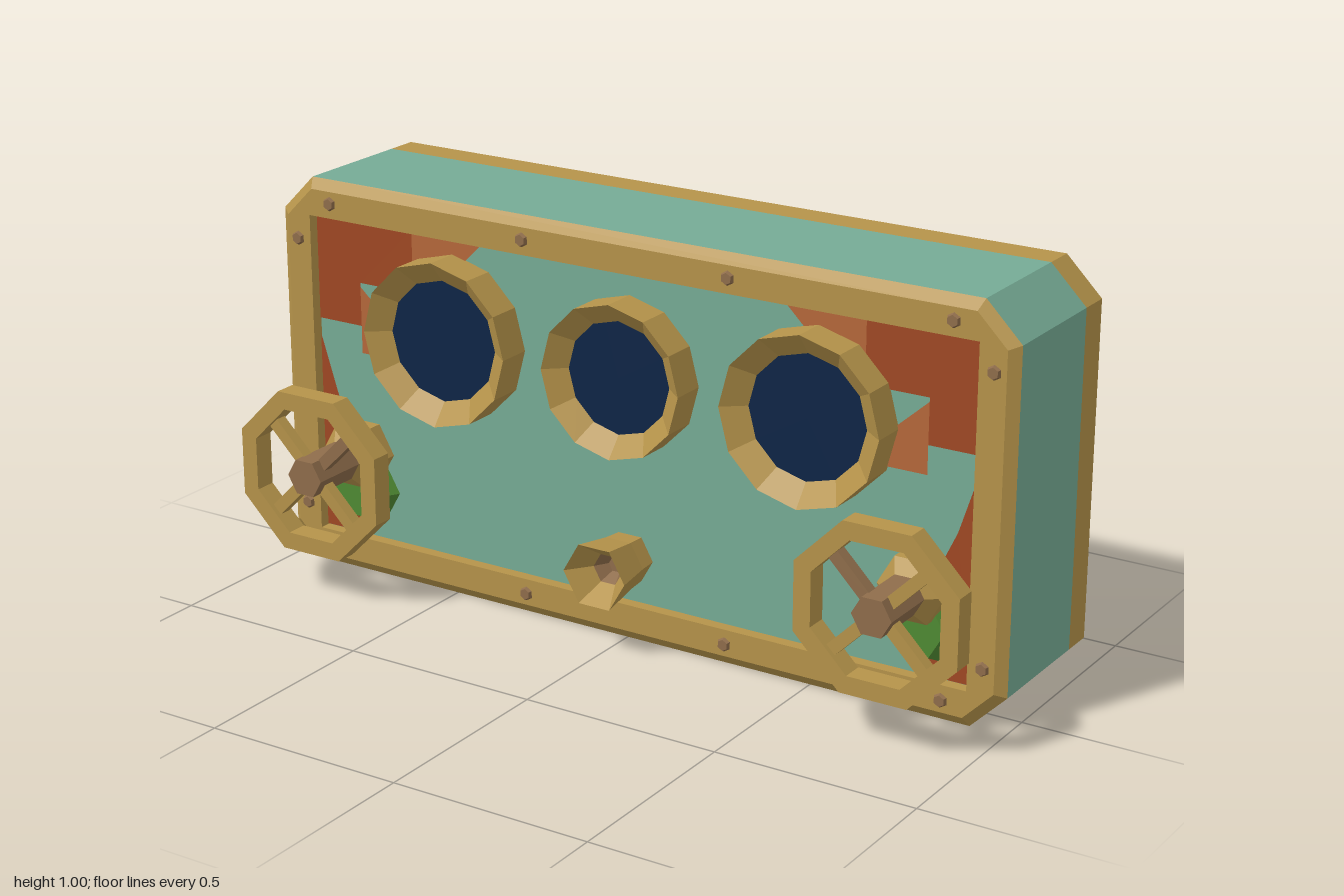
import * as THREE from 'three';

const mat = (name, color) => Object.assign(new THREE.MeshStandardMaterial({ color }), { name });

export function createModel() {
  const teal = mat('teal paint', 0x76ab95);
  const brass = mat('brass', 0xb5934a);
  const brown = mat('bronze', 0x8f6d4b);
  const rust = mat('dark rust', 0xa04824);
  const lightRust = mat('light rust', 0xb5683a);
  const navy = mat('dark glass', 0x0e2546);
  const green = mat('verdigris', 0x4f8a33);
  const group = new THREE.Group();
  group.name = 'gaugePanel';

  const FRONT = 0.07, BACK = -0.285; // recessed panel planes

  function add(name, geo, material, x = 0, y = 0, z = 0, parent = group) {
    const mesh = new THREE.Mesh(geo, material);
    mesh.name = name;
    mesh.position.set(x, y, z);
    parent.add(mesh);
    return mesh;
  }

  function facet(geo) {
    const g = geo.index ? geo.toNonIndexed() : geo;
    g.computeVertexNormals();
    return g;
  }

  // Faceted turned part, axis along z
  function turned(profile, sides, turn = 0) {
    const geo = new THREE.LatheGeometry(profile.map(p => new THREE.Vector2(...p)), sides);
    return facet(geo.rotateX(Math.PI / 2).rotateZ(turn));
  }

  // Rectangle with cut corners, counterclockwise seen from the front
  function loop(inset, cut, z) {
    const w = 1 - inset, a = inset, b = 1 - inset;
    return [[w, a + cut], [w, b - cut], [w - cut, b], [cut - w, b],
      [-w, b - cut], [-w, a + cut], [cut - w, a], [w - cut, a]].map(p => [...p, z]);
  }

  // Skin between successive loops
  function loft(loops) {
    const pos = [];
    for (let i = 0; i + 1 < loops.length; i++) {
      const p = loops[i], q = loops[i + 1];
      for (let j = 0; j < 8; j++) {
        const k = (j + 1) % 8;
        pos.push(...p[j], ...q[j], ...q[k], ...p[j], ...q[k], ...p[k]);
      }
    }
    const geo = new THREE.BufferGeometry();
    geo.setAttribute('position', new THREE.Float32BufferAttribute(pos, 3));
    return facet(geo);
  }

  // Case: front frame, painted sides, back frame and inner panel
  add('frontFrame', loft([loop(0.092, 0, FRONT), loop(0.092, 0, 0.1),
    loop(0.025, 0.075, 0.1), loop(0, 0.09, 0.08)]), brass);
  add('caseSides', loft([loop(0, 0.09, 0.08), loop(0, 0.09, -0.235)]), teal);
  add('backFrame', loft([loop(0, 0.09, -0.235), loop(0, 0.09, -0.315),
    loop(0.092, 0, -0.315), loop(0.092, 0, BACK)]), brass);
  add('panel', new THREE.BoxGeometry(1.82, 0.82, FRONT - BACK), teal, 0, 0.5, (FRONT + BACK) / 2);

  // Weathered patches, mirrored left and right
  function patch(name, points, material, side, back = false) {
    const flip = back ? -side : side;
    const geo = new THREE.ShapeGeometry(new THREE.Shape(
      points.map(([x, y]) => new THREE.Vector2(x * flip, y))));
    if (back) geo.rotateY(Math.PI);
    add(name, geo, material, 0, 0, back ? BACK - 0.003 : FRONT + 0.003);
  }

  const bolt = turned([[0.018, 0], [0.014, 0.008], [0, 0.008]], 6);

  for (const s of [-1, 1]) {
    patch('upperRust', [[0.908, 0.908], [0.62, 0.908], [0.62, 0.75], [0.78, 0.75],
      [0.78, 0.64], [0.908, 0.64]], rust, s);
    patch('upperLightRust', [[0.62, 0.908], [0.41, 0.908], [0.48, 0.84], [0.62, 0.82]], lightRust, s);
    patch('sideLightRust', [[0.78, 0.74], [0.69, 0.66], [0.66, 0.57], [0.78, 0.57]], lightRust, s);
    patch('lowerRust', [[0.908, 0.094], [0.908, 0.6], [0.86, 0.45], [0.79, 0.3], [0.78, 0.094]], rust, s);
    patch('backRust', [[0.908, 0.094], [0.63, 0.36], [0.63, 0.094]], rust, s, true);
    patch('backLightRust', [[0.908, 0.094], [0.908, 0.36], [0.63, 0.36]], lightRust, s, true);

    // Verdigris lump below the wheel
    add('verdigris', turned([[0.1, 0], [0.075, 0.042], [0, 0.042]], 6, Math.PI / 6),
      green, s * 0.78, 0.22, FRONT);

    // Handwheel with collar and axle
    const wheel = new THREE.Group();
    wheel.name = 'handwheel';
    wheel.position.set(s * 0.78, 0.318, 0);
    group.add(wheel);
    add('collar', turned([[0.085, FRONT], [0.085, 0.135], [0.05, 0.165], [0, 0.165]], 6, Math.PI / 6),
      brass, 0, 0, 0, wheel);
    add('axle', turned([[0.05, 0.15], [0.05, 0.315], [0, 0.315]], 6, Math.PI / 6),
      brown, 0, 0, 0, wheel);
    add('rim', turned([[0.173, 0.245], [0.22, 0.245], [0.22, 0.3], [0.173, 0.3], [0.173, 0.245]], 8, Math.PI / 8),
      brass, 0, 0, 0, wheel);
    for (let i = 0; i < 4; i++) {
      const a = Math.PI / 4 + i * Math.PI / 2;
      const inner = Math.sin(a) > 0 && Math.cos(a) * s < 0;
      const spoke = add('spoke', new THREE.BoxGeometry(0.15, 0.03, 0.03), inner ? brown : brass,
        Math.cos(a) * 0.1, Math.sin(a) * 0.1, 0.272, wheel);
      spoke.rotation.z = a;
    }

    // Frame bolts
    for (const [x, y] of [[0.845, 0.945], [0.28, 0.945], [0.945, 0.845],
      [0.945, 0.155], [0.845, 0.055], [0.28, 0.055]]) {
      add('frameBolt', bolt, brown, s * x, y, 0.1);
    }

    // Wall brackets on the back
    add('bracket', new THREE.BoxGeometry(0.09, 0.44, 0.03), brown, s * 0.47, 0.515, BACK - 0.015);
    for (const y of [0.355, 0.675]) {
      add('bracketBolt', bolt, brown, s * 0.47, y, BACK - 0.029).rotation.y = Math.PI;
    }
  }

  // Three gauges with funnel bezels and dark glass
  for (const [x, r, glass] of [[-0.5, 0.205, 0.152], [0, 0.188, 0.139], [0.5, 0.205, 0.152]]) {
    add('bezel', turned([[r, FRONT], [r, 0.16], [glass - 0.003, 0.115]], 12), brass, x, 0.662);
    add('glass', new THREE.CircleGeometry(glass, 24), navy, x, 0.662, 0.117);
  }

  // Speaking horn
  add('horn', turned([[0.064, FRONT], [0.068, 0.12], [0.085, 0.225], [0.04, 0.165]], 6, Math.PI / 6),
    brass, 0, 0.203);
  add('hornThroat', turned([[0.04, 0.165], [0.02, 0.13], [0, 0.13]], 6, Math.PI / 6), brown, 0, 0.203);

  return group;
}
